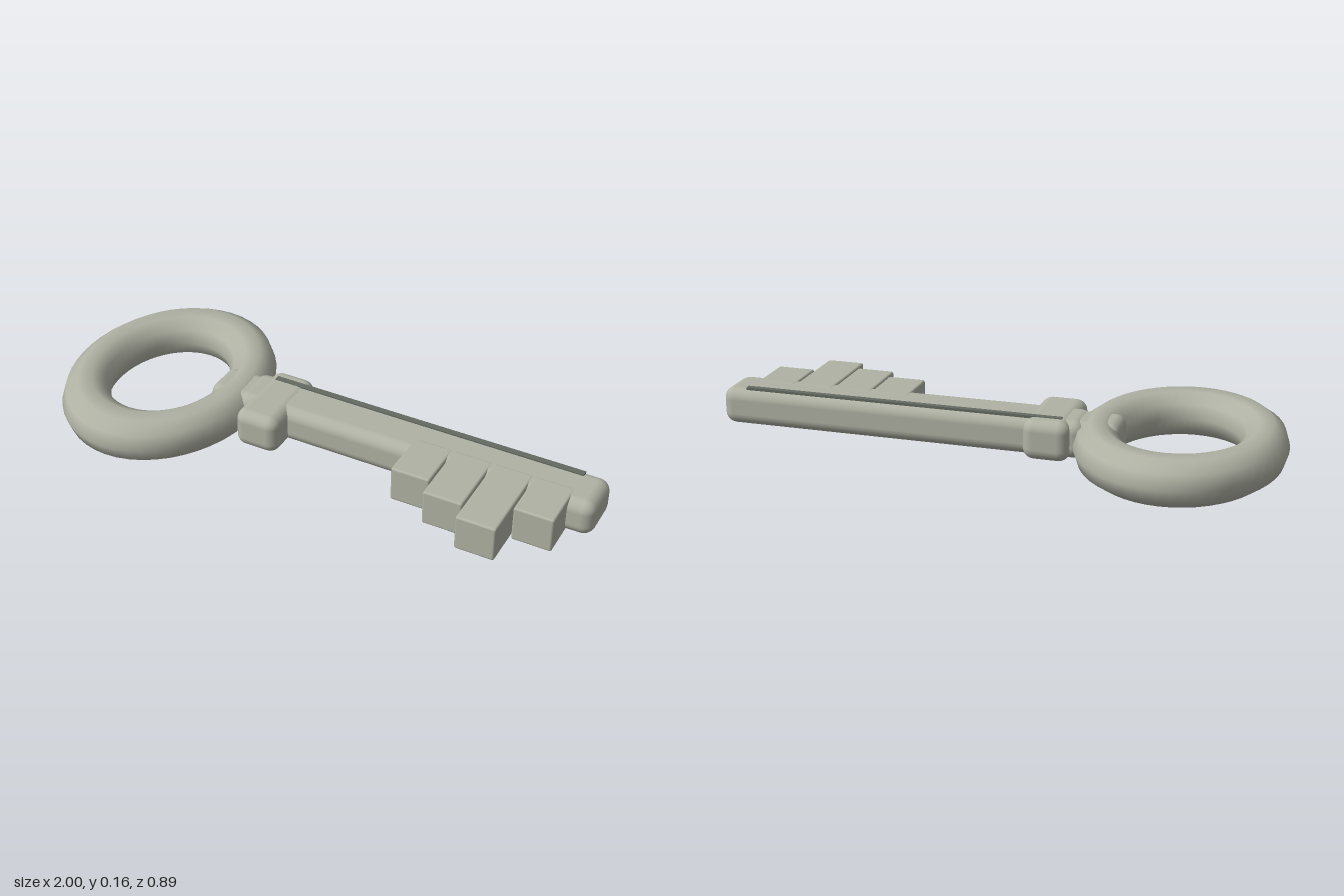
import * as THREE from 'three';
import { RoundedBoxGeometry } from 'three/addons/geometries/RoundedBoxGeometry.js';

export function createModel() {
  const key = new THREE.Group();
  key.name = 'key';

  const metal = new THREE.MeshStandardMaterial({ color: 0xb0b2a4 });
  metal.name = 'dull metal';
  const dark = new THREE.MeshStandardMaterial({ color: 0x646b61 });
  dark.name = 'dark metal';

  const add = (name, geometry, material) => {
    const mesh = new THREE.Mesh(geometry, material);
    mesh.name = name;
    key.add(mesh);
    return mesh;
  };

  // Rounded block given by its extents along each axis
  const block = (name, [x0, x1], [y0, y1], [z0, z1], radius, segments = 3) => {
    const geometry = new RoundedBoxGeometry(x1 - x0, y1 - y0, z1 - z0, segments, radius);
    geometry.translate((x0 + x1) / 2, (y0 + y1) / 2, (z0 + z1) / 2);
    return add(name, geometry, metal);
  };

  // Oval ring handle, lying flat
  const ring = new THREE.TorusGeometry(0.28, 0.08, 10, 48);
  ring.rotateX(Math.PI / 2);
  ring.scale(1, 1.05, 1.24);
  ring.translate(-0.64, 0.08, 0);
  add('ringHandle', ring, metal);

  // Neck, collar and shaft
  block('neck', [-0.445, -0.2], [0.025, 0.153], [-0.108, 0.052], 0.035);
  block('collar', [-0.285, -0.12], [0.017, 0.16], [-0.157, 0.153], 0.04);
  block('shaft', [-0.33, 1], [0.023, 0.157], [-0.126, 0.062], 0.042);

  // Teeth of the bit, stepping out towards the front
  const teeth = [[0.335, 0.178], [0.48, 0.24], [0.625, 0.305], [0.77, 0.178]];
  teeth.forEach(([x, reach], i) => {
    block('tooth' + (i + 1), [x, x + 0.14], [0.028, 0.158], [-0.01, reach], 0.008, 2);
  });

  // Dark line along the top of the shaft
  const line = new THREE.BoxGeometry(1.16, 0.009, 0.022);
  line.translate(0.33, 0.1575, -0.094);
  add('shaftLine', line, dark);

  return key;
}
